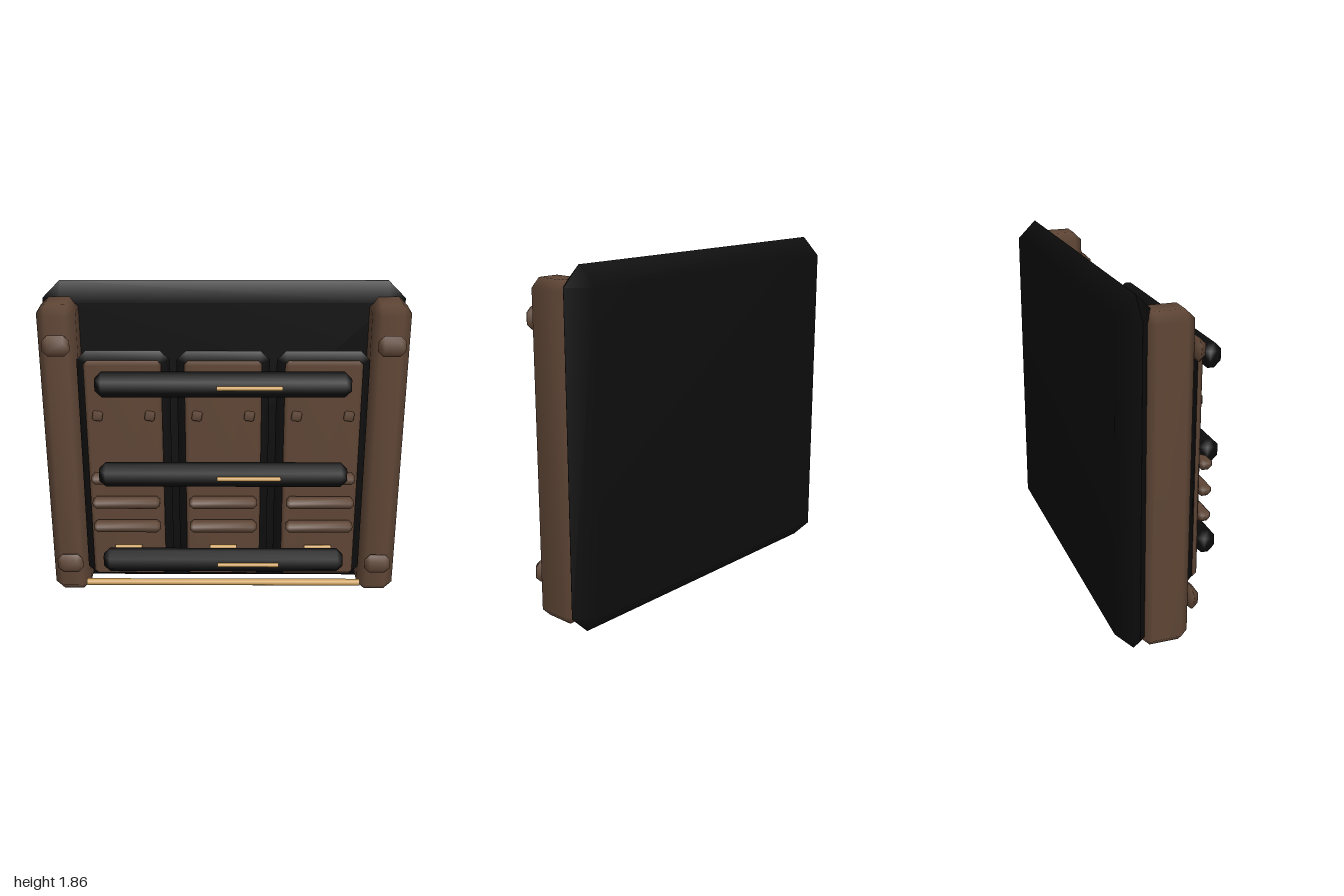
import * as THREE from 'three';
import { mergeVertices } from 'three/addons/utils/BufferGeometryUtils.js';
import { ConvexGeometry } from 'three/addons/geometries/ConvexGeometry.js';

// Box with all edges chamfered by c; area-weighted normals soften the chamfers
function chamferBox(w, h, d, c) {
  const points = new Map();
  for (const sx of [-1, 1]) for (const sy of [-1, 1]) for (const sz of [-1, 1]) {
    for (let axis = 0; axis < 3; axis++) {
      const p = [w, h, d].map((s, i) => s / 2 - (i === axis ? 0 : c));
      const v = new THREE.Vector3(sx * p[0], sy * p[1], sz * p[2]);
      points.set(v.toArray().map((n) => Math.round(n * 1e4)).join(), v);
    }
  }
  let geo = new ConvexGeometry([...points.values()]);
  geo.deleteAttribute('normal');
  geo = mergeVertices(geo, 1e-4);
  geo.computeVertexNormals();
  return geo;
}

export function createModel() {
  const model = new THREE.Group();
  model.name = 'panelledDoor';

  const mat = (name, color) => {
    const m = new THREE.MeshStandardMaterial({ color });
    m.name = name;
    return m;
  };
  const black = mat('black', 0x0d0d0d);
  const brown = mat('brown', 0x5e4535);
  const gold = mat('gold', 0xc99c58);

  const add = (parent, name, geo, material, x, y, z) => {
    const mesh = new THREE.Mesh(geo, material);
    mesh.name = name;
    mesh.position.set(x, y, z);
    parent.add(mesh);
    return mesh;
  };
  const rod = (r, length) => new THREE.CylinderGeometry(r, r, length, 10).rotateZ(Math.PI / 2);

  // Back plate
  add(model, 'backPlate', chamferBox(2, 1.86, 0.202, 0.1), black, 0, 0.935, -0.235);

  // Side posts with a clamp near each end
  const postGeo = chamferBox(0.21, 1.75, 0.25, 0.048);
  const clampGeo = chamferBox(0.148, 0.116, 0.066, 0.03);
  for (const side of [-1, 1]) {
    const post = new THREE.Group();
    post.name = side > 0 ? 'leftPost' : 'rightPost';
    model.add(post);
    add(post, 'postBody', postGeo, brown, side * 0.895, 0.917, -0.09);
    for (const y of [0.257, 1.585]) add(post, 'postClamp', clampGeo, brown, side * 0.895, y, 0.065);
  }

  // Three panels, each with an inset, bolts, slats and a small gold strip
  const frameGeo = chamferBox(0.495, 1.36, 0.102, 0.05);
  const insetGeo = chamferBox(0.41, 1.285, 0.05, 0.02);
  const boltGeo = chamferBox(0.054, 0.054, 0.04, 0.009);
  const slatGeo = chamferBox(0.37, 0.062, 0.074, 0.02);
  const stripGeo = rod(0.012, 0.15);
  for (const i of [-1, 0, 1]) {
    const panel = new THREE.Group();
    panel.name = 'panel';
    panel.position.x = i * 0.532 - 0.003;
    model.add(panel);
    add(panel, 'panelFrame', frameGeo, black, 0, 0.893, 0.102);
    add(panel, 'panelInset', insetGeo, brown, 0, 0.893, 0.155);
    for (const s of [-1, 1]) {
      add(panel, 'bolt', boltGeo, brown, s * 0.14, 1.234, 0.178).rotation.z = -0.14;
    }
    for (const y of [0.588, 0.735, 0.882]) add(panel, 'slat', slatGeo, brown, 0, y, 0.221);
    add(panel, 'goldStrip', stripGeo, gold, 0, 0.44, 0.193);
  }

  // Cross bars with gold inlays
  const barGeo = chamferBox(1.335, 0.13, 0.106, 0.035);
  const inlayGeo = rod(0.012, 0.34);
  for (const y of [0.397, 0.926, 1.443]) {
    add(model, 'crossBar', barGeo, black, -0.003, y, 0.262);
    add(model, 'barInlay', inlayGeo, gold, 0.135, y, 0.322);
  }

  // Long rod along the bottom
  add(model, 'bottomRod', rod(0.02, 1.585), gold, -0.003, 0.16, 0.112);

  return model;
}
